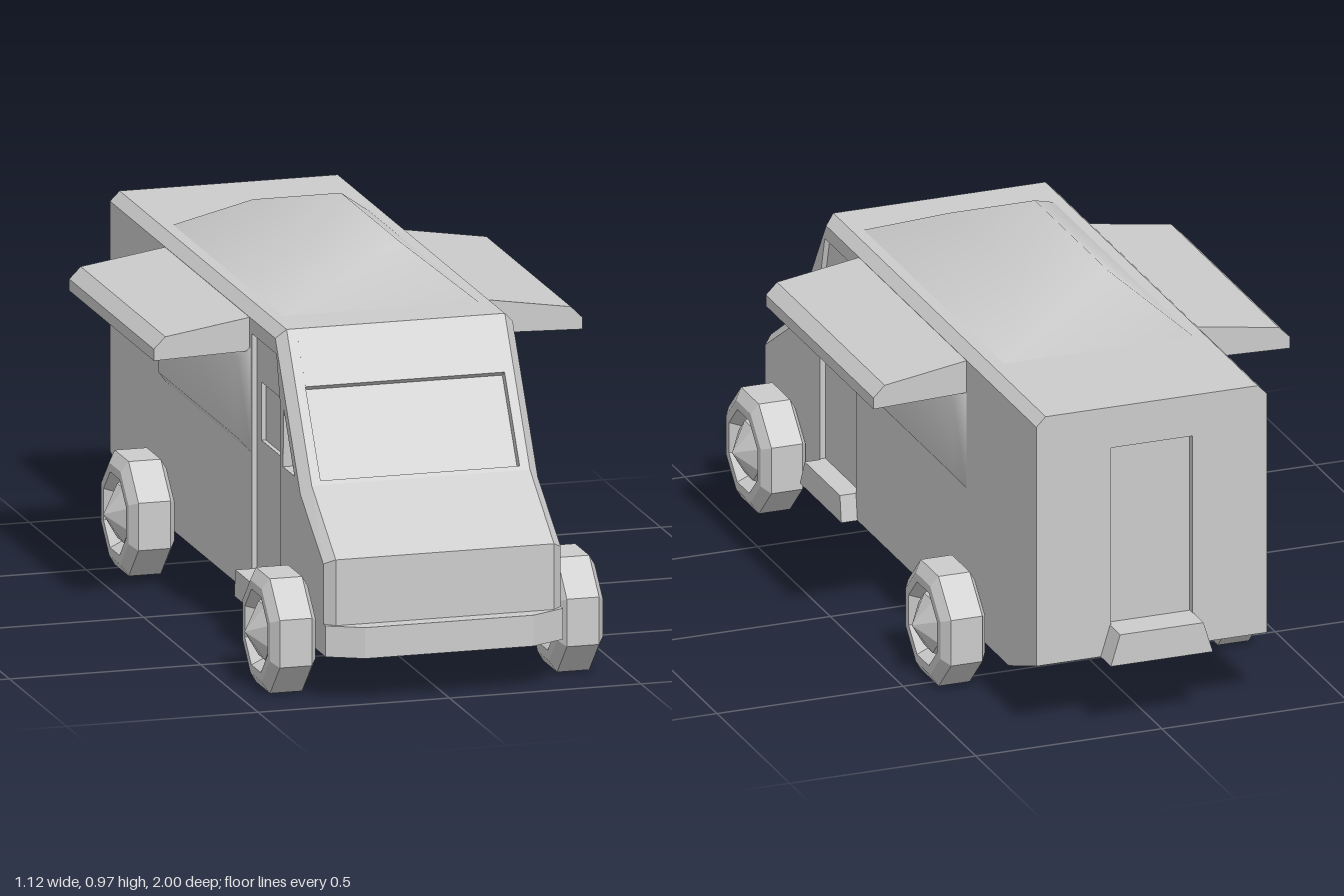
import * as THREE from 'three';
import { mergeVertices } from 'three/addons/utils/BufferGeometryUtils.js';

const grey = new THREE.MeshStandardMaterial({ color: 0xcccccc });
const flat = new THREE.MeshStandardMaterial({ color: 0xcccccc, flatShading: true });
const smooth = new THREE.MeshStandardMaterial({ color: 0xcccccc, side: THREE.DoubleSide });

const toShape = (pts) => new THREE.Shape(pts.map(([a, b]) => new THREE.Vector2(a, b)));

function add(parent, name, geometry, material = grey) {
  const mesh = new THREE.Mesh(geometry, material);
  mesh.name = name;
  parent.add(mesh);
  return mesh;
}

// Side outline given as [z, y], extruded across x from xa to xb
function slab(pts, xa, xb, holes = []) {
  const shape = toShape(pts);
  holes.forEach((h) => shape.holes.push(toShape(h)));
  const geo = new THREE.ExtrudeGeometry(shape, { depth: Math.abs(xb - xa), bevelEnabled: false });
  return geo.rotateY(-Math.PI / 2).translate(Math.max(xa, xb), 0, 0);
}

// Softly shaded frustum without a floor, base at y = 0
function softFrustum(w, d, topW, topD, h) {
  let geo = new THREE.BoxGeometry(w, h, d).translate(0, h / 2, 0);
  geo.setIndex([...geo.index.array].filter((_, i) => i < 18 || i >= 24));
  geo.deleteAttribute('normal');
  geo.deleteAttribute('uv');
  geo = mergeVertices(geo);
  const p = geo.attributes.position;
  for (let i = 0; i < p.count; i++) {
    if (p.getY(i) > h / 2) {
      p.setX(i, p.getX(i) * topW / w);
      p.setZ(i, p.getZ(i) * topD / d);
    }
  }
  geo.computeVertexNormals();
  return geo;
}

// Body outline, with optional recesses for the windshield and rear door
const windshield = [[0.744, 0.52], [0.724, 0.507], [0.592, 0.717], [0.612, 0.73]];
const rearDoor = [[-0.93, 0.75], [-0.91, 0.75], [-0.91, 0.25], [-0.93, 0.25]];
const bodyOutline = (glass, door) => [
  [0.96, 0.12], [0.96, 0.37], [0.75, 0.51], ...(glass ? windshield : []),
  [0.53, 0.86], [-0.93, 0.86], ...(door ? rearDoor : []), [-0.93, 0.19], [-0.74, 0.12],
];

// Outline corners pulled in on the outer face: [z, y, new z, new y]
const chamfer = [
  [0.96, 0.12, 0.935, 0.12], [0.96, 0.37, 0.935, 0.355], [0.75, 0.51, 0.735, 0.485],
  [0.53, 0.86, 0.515, 0.835], [-0.93, 0.86, -0.93, 0.835],
];

const doorOutline = [[0.31, 0.19], [0.556, 0.19], [0.556, 0.68], [0.524, 0.797], [0.31, 0.797]];
const doorWindow = [[0.348, 0.53], [0.535, 0.53], [0.535, 0.68], [0.348, 0.68]];
const quarterWindow = [[0.583, 0.52], [0.684, 0.52], [0.588, 0.67]];

function sideWall(s) {
  const geo = slab(bodyOutline(), s * 0.285, s * 0.31, [doorOutline, quarterWindow]);
  const p = geo.attributes.position;
  for (let i = 0; i < p.count; i++) {
    if (Math.abs(p.getX(i)) < 0.3) continue;
    const c = chamfer.find(([z, y]) => Math.hypot(p.getZ(i) - z, p.getY(i) - y) < 0.002);
    if (c) p.setXYZ(i, p.getX(i), c[3], c[2]);
  }
  geo.computeVertexNormals();
  return geo;
}

// Eight-sided wheel, profile [radius to the flats, distance along the axle]
function wheelGeometry(s) {
  const k = 1 / Math.cos(Math.PI / 8);
  const profile = [
    [0, -0.035], [0.07, -0.035], [0.095, -0.06], [0.12, -0.06], [0.148, -0.042],
    [0.148, 0.042], [0.12, 0.06], [0.098, 0.06], [0.078, 0.025], [0.07, 0.045], [0, 0.09],
  ].map(([r, a]) => new THREE.Vector2(r * k, a));
  return new THREE.LatheGeometry(profile, 8).rotateY(Math.PI / 8).rotateZ(-s * Math.PI / 2);
}

export function createModel() {
  const van = new THREE.Group();
  van.name = 'foodTruck';

  // Body core in strips across the width, recessed where needed
  const core = new THREE.Group();
  core.name = 'bodyCore';
  van.add(core);
  const cuts = [-0.285, -0.26, -0.11, 0.11, 0.26, 0.285];
  for (let i = 0; i < 5; i++) {
    add(core, 'bodyStrip', slab(bodyOutline(i > 0 && i < 4, i === 2), cuts[i], cuts[i + 1]));
  }

  // Raised roof
  add(van, 'roofHump', softFrustum(0.51, 0.96, 0.23, 0.5, 0.112), smooth).position.set(0, 0.86, -0.083);

  // Front bumper, plan outline extruded upward
  const plan = [[-0.31, -0.935], [0.31, -0.935], [0.31, -0.955], [0.22, -1], [-0.22, -1], [-0.31, -0.955]];
  const bumper = new THREE.ExtrudeGeometry(toShape(plan), { depth: 0.08, bevelEnabled: false });
  add(van, 'frontBumper', bumper.rotateX(-Math.PI / 2).translate(0, 0.12, 0));

  // Rear step, narrower at its top
  const rear = [[-0.137, 0.19], [0.137, 0.19], [0.112, 0.272], [-0.112, 0.272]];
  const step = new THREE.ExtrudeGeometry(toShape(rear), { depth: 0.09, bevelEnabled: false });
  add(van, 'rearStep', step.translate(0, 0, -1));

  for (const s of [-1, 1]) {
    const side = new THREE.Group();
    side.name = s > 0 ? 'leftSide' : 'rightSide';
    van.add(side);

    add(side, 'sideWall', sideWall(s));
    add(side, 'cabDoor', slab(doorOutline, s * 0.28, s * 0.296, [doorWindow]));
    add(side, 'cabStep', slab([[0.3, 0.12], [0.585, 0.12], [0.552, 0.19], [0.31, 0.19]], s * 0.3, s * 0.353));

    // Serving hatch bulging slightly from the wall
    const hatch = softFrustum(0.27, 0.75, 0.205, 0.69, 0.027).rotateZ(-s * Math.PI / 2);
    add(side, 'servingHatch', hatch, smooth).position.set(s * 0.309, 0.623, -0.075);

    // Awning above the hatch
    const section = [[0.305, 0.835], [0.53, 0.8], [0.56, 0.77], [0.56, 0.74], [0.305, 0.748]];
    const awning = new THREE.ExtrudeGeometry(toShape(section.map(([x, y]) => [s * x, y])),
      { depth: 0.74, bevelEnabled: false });
    add(side, 'awning', awning.translate(0, 0, -0.45));

    for (const [name, z] of [['frontWheel', 0.765], ['rearWheel', -0.47]]) {
      add(side, name, wheelGeometry(s), flat).position.set(s * 0.375, 0.15, z);
    }
  }
  return van;
}
